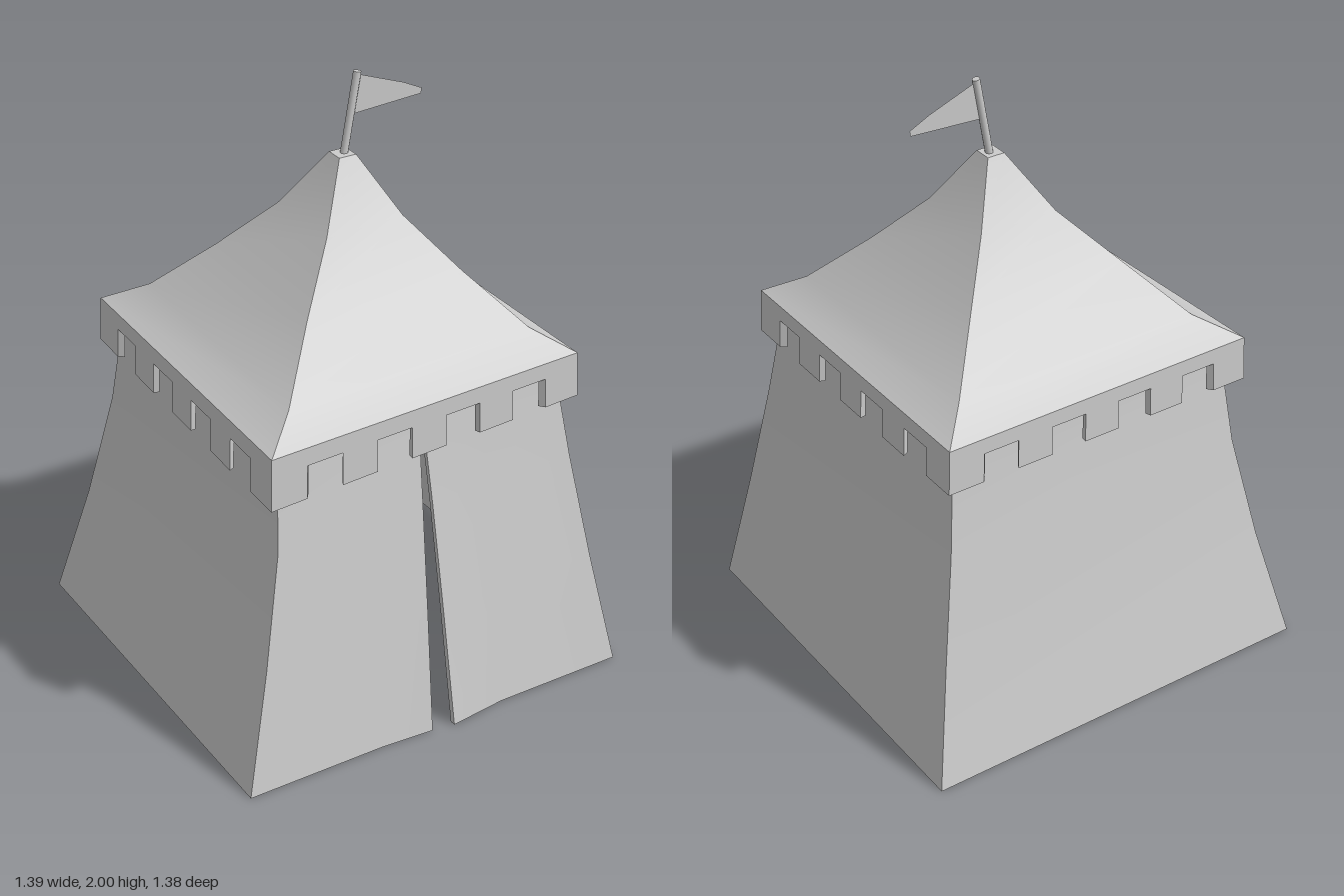
import * as THREE from 'three';
import { mergeGeometries } from 'three/addons/utils/BufferGeometryUtils.js';

const cloth = new THREE.MeshStandardMaterial({ color: 0xcccccc, side: THREE.DoubleSide });

// Smooth surface through rows of points: bottom to top, left to right seen from outside
function strip(rows) {
  const n = rows[0].length, index = [];
  for (let r = 0; r < rows.length - 1; r++) {
    for (let c = 0; c < n - 1; c++) {
      const a = r * n + c, b = a + 1, d = a + n, e = d + 1;
      index.push(a, b, e, a, e, d);
    }
  }
  const g = new THREE.BufferGeometry();
  g.setAttribute('position', new THREE.Float32BufferAttribute(rows.flat(2), 3));
  g.setIndex(index);
  g.computeVertexNormals();
  return g;
}

// Pull a point towards the vertical axis to give the cloth its thickness
const inset = ([x, y, z], k = 0.972) => [x * k, y, z * k];

// Cloth panel with an inner face and closed rims
function slab(outer) {
  const inner = outer.map(row => row.map(p => inset(p)));
  const top = outer.length - 1, end = outer[0].length - 1;
  const rim = (a, b, c) => a.map((row, i) => [row[c], b[i][c]]);
  return mergeGeometries([
    strip(outer),
    strip(inner.map(row => [...row].reverse())),
    strip([inner[0], outer[0]]),
    strip([outer[top], inner[top]]),
    strip(rim(inner, outer, 0)),
    strip(rim(outer, inner, end)),
  ]);
}

// Corners of a ring in order: front -x, front +x, back +x, back -x
const ring = (y, x0, x1, zb, zf, drop = 0) =>
  [[x0, y - drop, zf], [x1, y, zf], [x1, y, zb], [x0, y, zb]];

function add(group, name, geometry) {
  const mesh = new THREE.Mesh(geometry, cloth);
  mesh.name = name;
  group.add(mesh);
  return mesh;
}

const sideNames = ['front', 'left', 'back', 'right'];

function makeWalls() {
  const walls = new THREE.Group();
  walls.name = 'walls';
  const rings = [
    ring(0, -0.70, 0.695, -0.69, 0.665),
    ring(0.4, -0.60, 0.62, -0.61, 0.60),
    ring(0.77, -0.52, 0.56, -0.555, 0.54),
    ring(1.0, -0.498, 0.53, -0.52, 0.503),
    ring(1.12, -0.48, 0.51, -0.51, 0.49),
  ];
  for (let s = 1; s < 4; s++) {
    add(walls, sideNames[s] + 'Wall', slab(rings.map(r => [r[s], r[(s + 1) % 4]])));
  }
  // Door slit: x of both edges and their outward bulge at each ring
  const slit = [
    [-0.037, 0.039, 0.012, 0.024],
    [-0.02, 0.035, 0.01, 0.016],
    [-0.005, 0.028, 0.006, 0.01],
    [0.004, 0.02, 0.003, 0.006],
    [0.012, 0.013, 0, 0],
  ];
  add(walls, 'rightDoorFlap', slab(rings.map((r, i) => {
    const [x, y, z] = r[0], [edge, , bulge] = slit[i];
    return [[x, y, z], [-0.22, y, z], [edge, y, z + bulge]];
  })));
  add(walls, 'leftDoorFlap', slab(rings.map((r, i) => {
    const [x, y, z] = r[1], [, edge, , bulge] = slit[i];
    return [[edge, y, z + bulge], [0.24, y, z], [x, y, z]];
  })));
  return walls;
}

function makeRoof() {
  const roof = new THREE.Group();
  roof.name = 'roof';
  // Concave rings with one sagging front corner
  const rings = [
    ring(1.15, -0.543, 0.56, -0.555, 0.55, 0.04),
    ring(1.22, -0.42, 0.45, -0.44, 0.44, 0.035),
    ring(1.39, -0.26, 0.30, -0.28, 0.28, 0.025),
    ring(1.555, -0.105, 0.17, -0.145, 0.14, 0.01),
    ring(1.74, 0.01, 0.07, -0.035, 0.026),
  ];
  for (let s = 0; s < 4; s++) {
    add(roof, sideNames[s] + 'RoofPanel', strip(rings.map(r => [r[s], r[(s + 1) % 4]])));
  }
  const [a, b, c, d] = rings[4];
  add(roof, 'roofCap', strip([[a, b], [d, c]]));
  return roof;
}

function makeValance() {
  const valance = new THREE.Group();
  valance.name = 'valance';
  // Band with five square tabs, drawn in unit space
  const shape = new THREE.Shape();
  shape.moveTo(0, 1);
  for (let i = 0; i < 9; i++) {
    const v = i % 2 ? 0.65 : 0;
    shape.lineTo(i / 9, v);
    shape.lineTo((i + 1) / 9, v);
  }
  shape.lineTo(1, 1);
  const top = ring(1.15, -0.543, 0.56, -0.555, 0.55, 0.04);
  const low = ring(0.998, -0.55, 0.566, -0.558, 0.555, 0.063);
  for (let s = 0; s < 4; s++) {
    const e = (s + 1) % 4;
    const g = new THREE.ExtrudeGeometry(shape, { depth: 1, bevelEnabled: false });
    const pos = g.attributes.position;
    // Stretch the unit band between its four corners
    for (let i = 0; i < pos.count; i++) {
      const u = pos.getX(i), v = pos.getY(i), w = pos.getZ(i);
      const p = [0, 1, 2].map(k => THREE.MathUtils.lerp(
        THREE.MathUtils.lerp(low[s][k], low[e][k], u),
        THREE.MathUtils.lerp(top[s][k], top[e][k], u), v));
      pos.setXYZ(i, ...inset(p, w > 0.5 ? 1 : 0.967));
    }
    g.computeVertexNormals();
    add(valance, sideNames[s] + 'Valance', g);
  }
  return valance;
}

function makeFlag() {
  const flag = new THREE.Group();
  flag.name = 'flag';
  // Leaning pole
  const foot = new THREE.Vector3(0.042, 1.72, -0.005), tip = new THREE.Vector3(0.092, 1.998, -0.005);
  const dir = tip.clone().sub(foot);
  const pole = add(flag, 'flagPole', new THREE.CylinderGeometry(0.0125, 0.0125, dir.length(), 12));
  pole.position.copy(foot).add(tip).multiplyScalar(0.5);
  pole.quaternion.setFromUnitVectors(new THREE.Vector3(0, 1, 0), dir.normalize());
  // Pennant
  const outline = [[0.07, 1.86], [0.325, 1.874], [0.328, 1.892], [0.26, 1.925], [0.092, 1.988]];
  const pennant = new THREE.Shape(outline.map(p => new THREE.Vector2(...p)));
  add(flag, 'pennant', new THREE.ShapeGeometry(pennant)).position.z = -0.005;
  return flag;
}

export function createModel() {
  const tent = new THREE.Group();
  tent.name = 'tent';
  tent.add(makeWalls(), makeRoof(), makeValance(), makeFlag());
  return tent;
}
